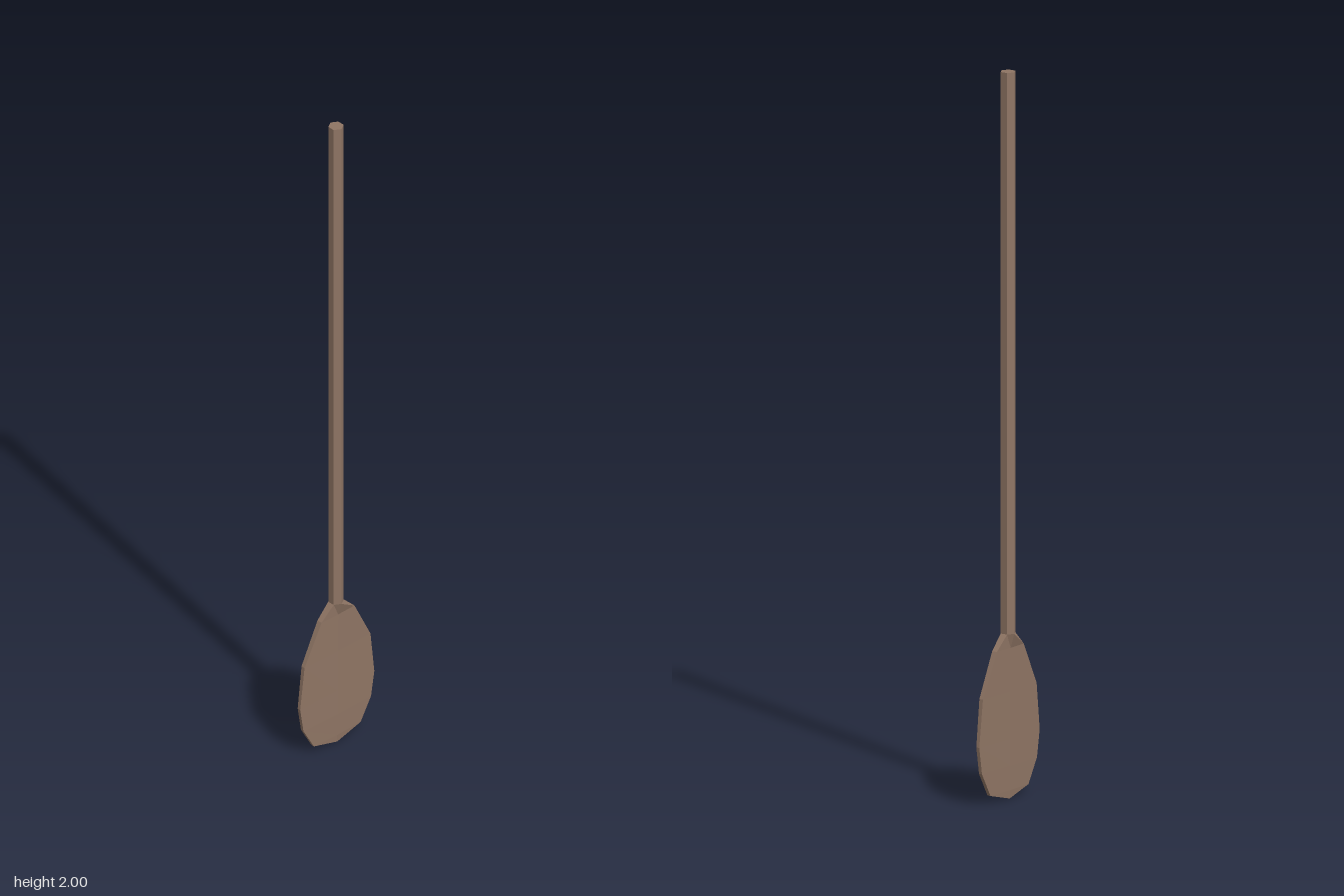
import * as THREE from 'three';

// Lofts six-sided sections, listed from top to bottom.
// Each section: height y, half width w (z), half thickness at centre c and at rim e (x).
function loft(sections) {
  const pos = [], index = [], n = 6;
  for (const [y, w, c, e] of sections) {
    for (const [x, z] of [[c, 0], [e, w], [-e, w], [-c, 0], [-e, -w], [e, -w]]) pos.push(x, y, z);
  }
  for (let i = 0; i < sections.length - 1; i++) {
    for (let j = 0; j < n; j++) {
      const a = i * n + j, b = i * n + (j + 1) % n;
      index.push(a, b, a + n, b, b + n, a + n);
    }
  }
  // bottom cap
  const s = (sections.length - 1) * n;
  for (let j = 1; j < n - 1; j++) index.push(s, s + j, s + j + 1);
  const geo = new THREE.BufferGeometry();
  geo.setAttribute('position', new THREE.Float32BufferAttribute(pos, 3));
  geo.setIndex(index);
  const flat = geo.toNonIndexed();
  flat.computeVertexNormals();
  return flat;
}

export function createModel() {
  const group = new THREE.Group();
  group.name = 'paddle';
  const wood = new THREE.MeshStandardMaterial({ name: 'brown wood', color: 0x8f7564, flatShading: true });

  // Hexagonal shaft with a corner on each x side
  const top = 2, neck = 0.455, radius = 0.0212;
  const shaft = new THREE.Mesh(
    new THREE.CylinderGeometry(radius, radius, top - neck, 6, 1, false, Math.PI / 6), wood);
  shaft.position.y = (top + neck) / 2;
  shaft.name = 'shaft';
  group.add(shaft);

  // Flat blade growing out of the shaft
  const blade = new THREE.Mesh(loft([
    [neck, 0.0184, radius, radius / 2],
    [0.415, 0.06, 0.009, 0.008],
    [0.295, 0.12, 0.008, 0.006],
    [0.165, 0.135, 0.008, 0.005],
    [0.09, 0.123, 0.008, 0.005],
    [0.023, 0.085, 0.007, 0.005],
    [0, 0.002, 0.006, 0.005],
  ]), wood);
  blade.name = 'blade';
  group.add(blade);

  return group;
}
